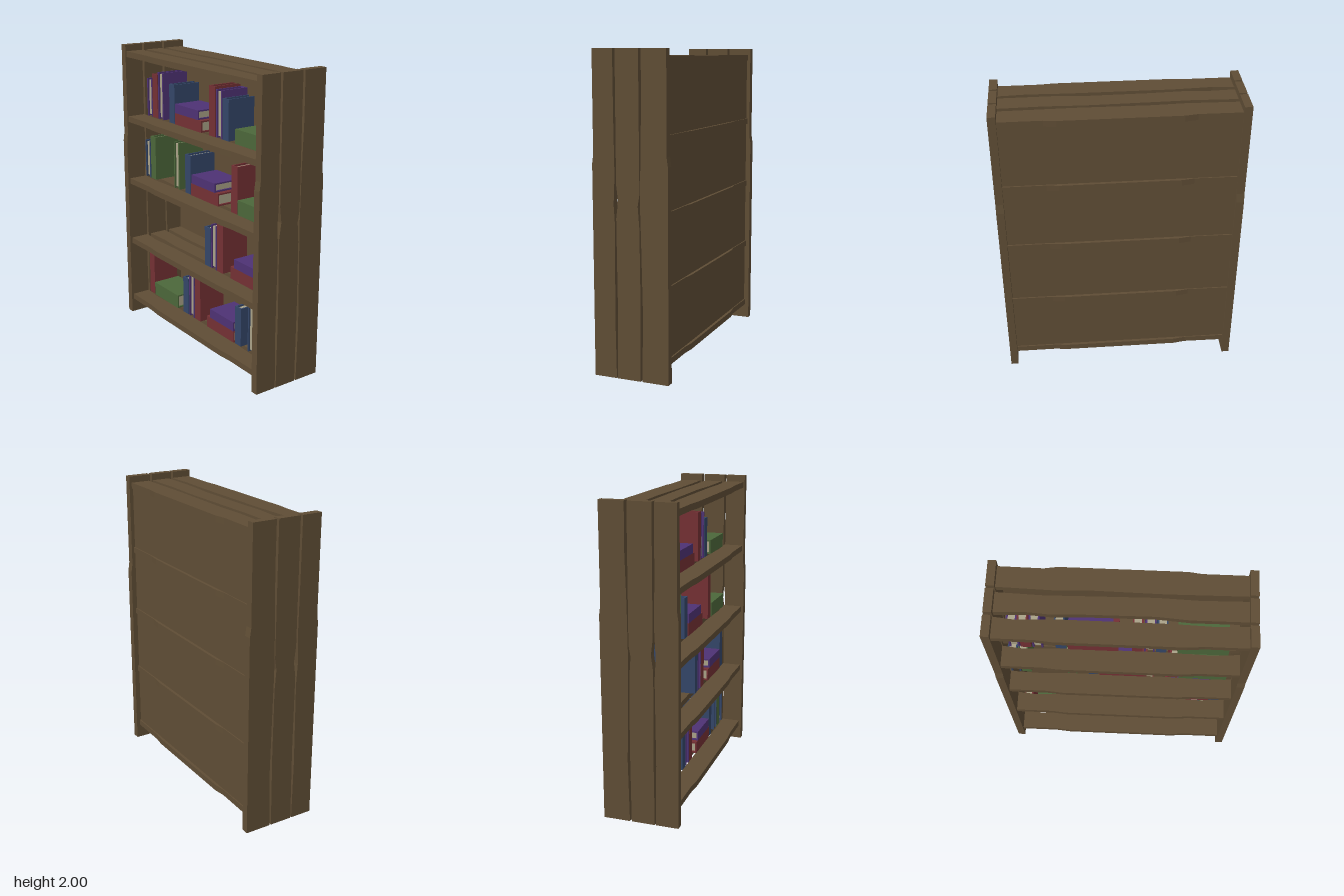
import * as THREE from 'three';

const mat = (name, color) => {
  const m = new THREE.MeshStandardMaterial({ color });
  m.name = name;
  return m;
};

export function createModel() {
  const model = new THREE.Group();
  model.name = 'bookcase';
  const wood = mat('brown wood', 0x5f4d35);
  const paper = mat('cream paper', 0xaaa288);
  const covers = {
    red: mat('red cover', 0x743034),
    purple: mat('purple cover', 0x4e3274),
    blue: mat('blue cover', 0x344668),
    green: mat('green cover', 0x4c673a),
  };

  const box = (parent, name, material, w, h, d, x, y, z) => {
    const m = new THREE.Mesh(new THREE.BoxGeometry(w, h, d), material);
    m.name = name;
    m.position.set(x, y, z);
    parent.add(m);
    return m;
  };

  // Rough-cut board: two wavy long edges, given as [along, z] points, extruded to its thickness
  const boardGeometry = (near, far, thickness, upright) => {
    const pts = [...near, ...[...far].reverse()].map(([a, z]) =>
      upright ? new THREE.Vector2(z, a) : new THREE.Vector2(a, -z));
    const g = new THREE.ExtrudeGeometry(new THREE.Shape(pts), { depth: thickness, bevelEnabled: false });
    return upright ? g.rotateY(-Math.PI / 2) : g.rotateX(-Math.PI / 2);
  };

  // Upright side boards, from front to back
  const sideBoards = [
    [[[0, 0.248], [1.32, 0.248], [1.38, 0.24], [2, 0.24]],
      [[0, 0.1], [0.4, 0.106], [0.95, 0.1], [1.08, 0.108], [1.25, 0.1], [1.6, 0.104], [2, 0.106]]],
    [[[0, 0.093], [0.5, 0.088], [1.0, 0.092], [1.1, 0.078], [1.2, 0.09], [2, 0.09]],
      [[0, -0.06], [0.5, -0.064], [0.95, -0.06], [1.08, -0.05], [1.15, -0.062], [2, -0.06]]],
    [[[0, -0.072], [0.4, -0.08], [0.9, -0.07], [1.05, -0.066], [1.4, -0.07], [1.7, -0.078], [2, -0.076]],
      [[0, -0.245], [1.32, -0.245], [1.38, -0.236], [2, -0.236]]],
  ];
  for (const side of [-1, 1]) {
    for (const [near, far] of sideBoards) {
      const m = new THREE.Mesh(boardGeometry(near, far, 0.05, true), wood);
      m.name = side > 0 ? 'leftSideBoard' : 'rightSideBoard';
      m.position.x = side > 0 ? 0.782 : -0.732;
      model.add(m);
    }
  }

  // Shelf boards, from front to back
  const shelfBoards = [
    [[[-0.735, 0.231], [-0.48, 0.231], [-0.38, 0.24], [0.38, 0.24], [0.48, 0.231], [0.735, 0.231]],
      [[-0.735, 0.098], [-0.6, 0.112], [-0.35, 0.1], [0.3, 0.1], [0.55, 0.108], [0.735, 0.098]]],
    [[[-0.735, 0.07], [-0.55, 0.062], [-0.4, 0.072], [-0.2, 0.064], [0.2, 0.06], [0.4, 0.074], [0.735, 0.072]],
      [[-0.735, -0.055], [-0.45, -0.046], [-0.25, -0.05], [0.2, -0.058], [0.45, -0.05], [0.735, -0.056]]],
    [[[-0.735, -0.088], [-0.4, -0.08], [-0.2, -0.088], [0.25, -0.082], [0.735, -0.088]],
      [[-0.735, -0.22], [-0.46, -0.217], [-0.38, -0.23], [0.38, -0.23], [0.46, -0.22], [0.735, -0.22]]],
  ];
  const shelfTops = [0.14, 0.59, 1.045, 1.5, 1.957];
  for (const top of shelfTops) {
    for (const [near, far] of shelfBoards) {
      const m = new THREE.Mesh(boardGeometry(near, far, 0.04, false), wood);
      m.name = top > 1.9 ? 'topBoard' : 'shelfBoard';
      m.position.y = top - 0.04;
      model.add(m);
    }
  }

  // Back panels between the shelves
  for (let i = 0; i < 4; i++) {
    const y0 = shelfTops[i] - 0.02, y1 = shelfTops[i + 1] - 0.02;
    box(model, 'backPanel', wood, 1.47, y1 - y0, 0.016, 0, (y0 + y1) / 2, -0.203);
  }

  // A book standing on its tail with the spine towards +z
  const makeBook = (color, w, h, d) => {
    const book = new THREE.Group();
    book.name = color + 'Book';
    const t = 0.01, inset = 0.012;
    for (const s of [-1, 1]) box(book, 'cover', covers[color], t, h, d, s * (w - t) / 2, 0, 0);
    box(book, 'spine', covers[color], w - 2 * t, h, t, 0, 0, (d - t) / 2);
    box(book, 'pages', paper, w - 2 * t, h - 2 * inset, d - t - inset, 0, 0, (inset - t) / 2);
    return book;
  };

  // Standing books: [colour, left edge x, height, pages facing the front]
  const standing = [
    [['red', -0.705, 0.31], ['blue', -0.255, 0.27], ['purple', -0.18, 0.31, true], ['red', -0.107, 0.335],
      ['blue', 0.36, 0.27], ['blue', 0.498, 0.335, true], ['green', 0.57, 0.31], ['blue', 0.647, 0.27, true]],
    [['blue', 0.015, 0.275], ['purple', 0.086, 0.31, true], ['red', 0.158, 0.332], ['blue', 0.63, 0.275]],
    [['blue', -0.727, 0.27, true], ['green', -0.655, 0.31], ['green', -0.352, 0.33, true],
      ['blue', -0.215, 0.27], ['red', 0.31, 0.31]],
    [['purple', -0.685, 0.265, true], ['red', -0.615, 0.305], ['purple', -0.542, 0.325, true],
      ['blue', -0.4, 0.265], ['red', 0.068, 0.325], ['purple', 0.143, 0.31, true], ['blue', 0.215, 0.265]],
  ];
  // Lying books: [colour, x from, x to, bottom above the shelf, thickness]
  const lying = [
    [['green', -0.632, -0.322, 0, 0.098], ['red', 0.043, 0.35, 0, 0.08], ['purple', 0.08, 0.345, 0.08, 0.065]],
    [['red', 0.31, 0.62, 0, 0.083], ['purple', 0.35, 0.615, 0.083, 0.063]],
    [['red', -0.142, 0.17, 0, 0.084], ['purple', -0.132, 0.134, 0.084, 0.062], ['green', 0.384, 0.695, 0, 0.098]],
    [['red', -0.325, -0.015, 0, 0.078], ['purple', -0.325, -0.053, 0.078, 0.063], ['green', 0.35, 0.66, 0, 0.095]],
  ];
  const bookW = 0.064, bookD = 0.2;
  for (let i = 0; i < 4; i++) {
    const y = shelfTops[i];
    for (const [color, x, h, pagesFront] of standing[i]) {
      const b = makeBook(color, bookW, h, bookD);
      b.position.set(x + bookW / 2, y + h / 2, 0);
      if (pagesFront) b.rotation.y = Math.PI;
      model.add(b);
    }
    for (const [color, x0, x1, up, t] of lying[i]) {
      const b = makeBook(color, t, x1 - x0, bookD + 0.008);
      b.position.set((x0 + x1) / 2, y + up + t / 2, 0);
      b.rotation.z = Math.PI / 2;
      model.add(b);
    }
  }
  return model;
}
